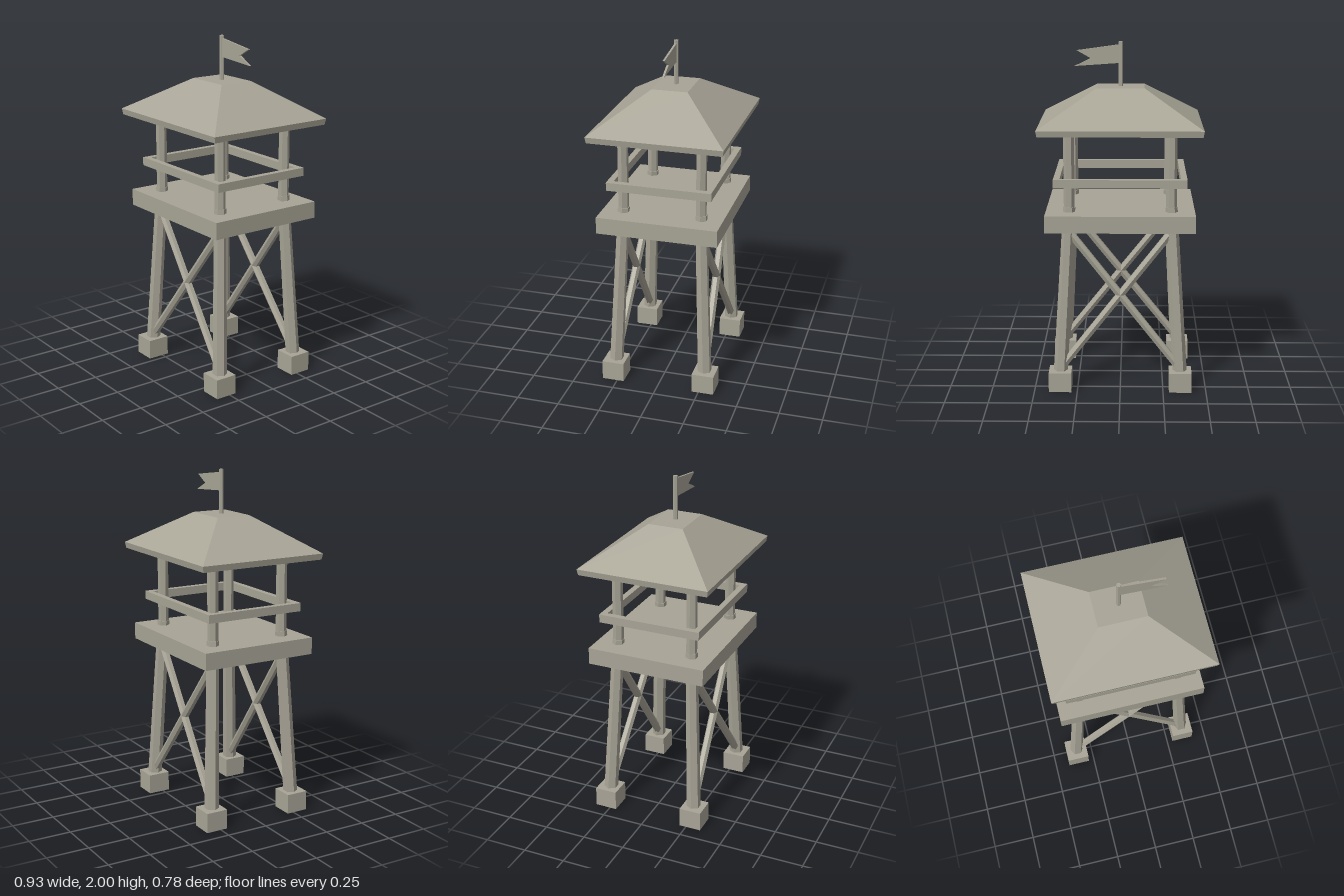
import * as THREE from 'three';

const wood = new THREE.MeshStandardMaterial({ color: 0xa8a496, flatShading: true });
wood.name = 'weathered wood';

export function createModel() {
  const model = new THREE.Group();
  model.name = 'watchtower';

  const add = (name, geometry, x = 0, y = 0, z = 0) => {
    const mesh = new THREE.Mesh(geometry, wood);
    mesh.name = name;
    mesh.position.set(x, y, z);
    model.add(mesh);
    return mesh;
  };
  const box = (name, w, h, d, x, y, z) => add(name, new THREE.BoxGeometry(w, h, d), x, y, z);

  // Six-sided beam between two points; turn rolls it about its own axis
  const beam = (name, from, to, r0, r1, turn = 0) => {
    const a = new THREE.Vector3(...from), b = new THREE.Vector3(...to);
    const dir = b.clone().sub(a);
    const geometry = new THREE.CylinderGeometry(r1, r0, dir.length(), 6).rotateY(turn);
    const mesh = add(name, geometry, ...a.clone().add(b).multiplyScalar(0.5).toArray());
    mesh.quaternion.setFromUnitVectors(new THREE.Vector3(0, 1, 0), dir.normalize());
  };

  // Closed solid from stacked rectangles [y, half width, half depth]
  const stackedRectangles = (levels) => {
    const rings = levels.map(([y, w, d]) => [[-w, y, d], [w, y, d], [w, y, -d], [-w, y, -d]]);
    const points = [];
    const quad = (a, b, c, d) => points.push(...a, ...b, ...c, ...a, ...c, ...d);
    for (let i = 0; i < rings.length - 1; i++) {
      for (let k = 0; k < 4; k++) {
        const n = (k + 1) % 4;
        quad(rings[i][k], rings[i][n], rings[i + 1][n], rings[i + 1][k]);
      }
    }
    quad(...rings[rings.length - 1]);
    quad(...rings[0].slice().reverse());
    const geometry = new THREE.BufferGeometry();
    geometry.setAttribute('position', new THREE.Float32BufferAttribute(points, 3));
    geometry.computeVertexNormals();
    return geometry;
  };

  // Footings, leaning legs and upright roof posts at the four corners
  for (const sx of [-1, 1]) {
    for (const sz of [-1, 1]) {
      box('footing', 0.131, 0.116, 0.131, sx * 0.35, 0.058, sz * 0.275);
      beam('leg', [sx * 0.351, 0.05, sz * 0.274], [sx * 0.291, 1.085, sz * 0.228], 0.042, 0.035, Math.PI / 2);
      beam('roofPost', [sx * 0.291, 1.0, sz * 0.228], [sx * 0.291, 1.53, sz * 0.228], 0.031, 0.031, Math.PI / 2);
    }
  }

  // Crossed braces on the front and back
  for (const sz of [-1, 1]) {
    for (const sx of [-1, 1]) {
      beam('crossBrace', [sx * -0.337, 0.14, sz * 0.27], [sx * 0.3, 0.95, sz * 0.234], 0.024, 0.024);
    }
  }

  // Platform and railing
  box('platform', 0.852, 0.098, 0.704, 0, 1.009, 0);
  for (const s of [-1, 1]) {
    box('longRail', 0.744, 0.048, 0.036, 0, 1.233, s * 0.286);
    box('sideRail', 0.036, 0.048, 0.606, s * 0.36, 1.233, 0);
  }

  // Hipped roof with a flat top
  add('roof', stackedRectangles([
    [1.513, 0.458, 0.384],
    [1.548, 0.464, 0.39],
    [1.746, 0.137, 0.104],
  ]));

  // Flagpole and swallow-tailed flag
  beam('flagpole', [0, 1.73, 0], [0, 2, 0], 0.013, 0.013, Math.PI / 2);
  const flag = new THREE.Shape([
    [0.005, 1.878], [0.265, 1.86], [0.172, 1.905], [0.252, 1.95], [0.005, 1.984],
  ].map(([x, y]) => new THREE.Vector2(x, y)));
  add('flag', new THREE.ExtrudeGeometry(flag, { depth: 0.012, bevelEnabled: false }), 0, 0, -0.006);

  return model;
}
